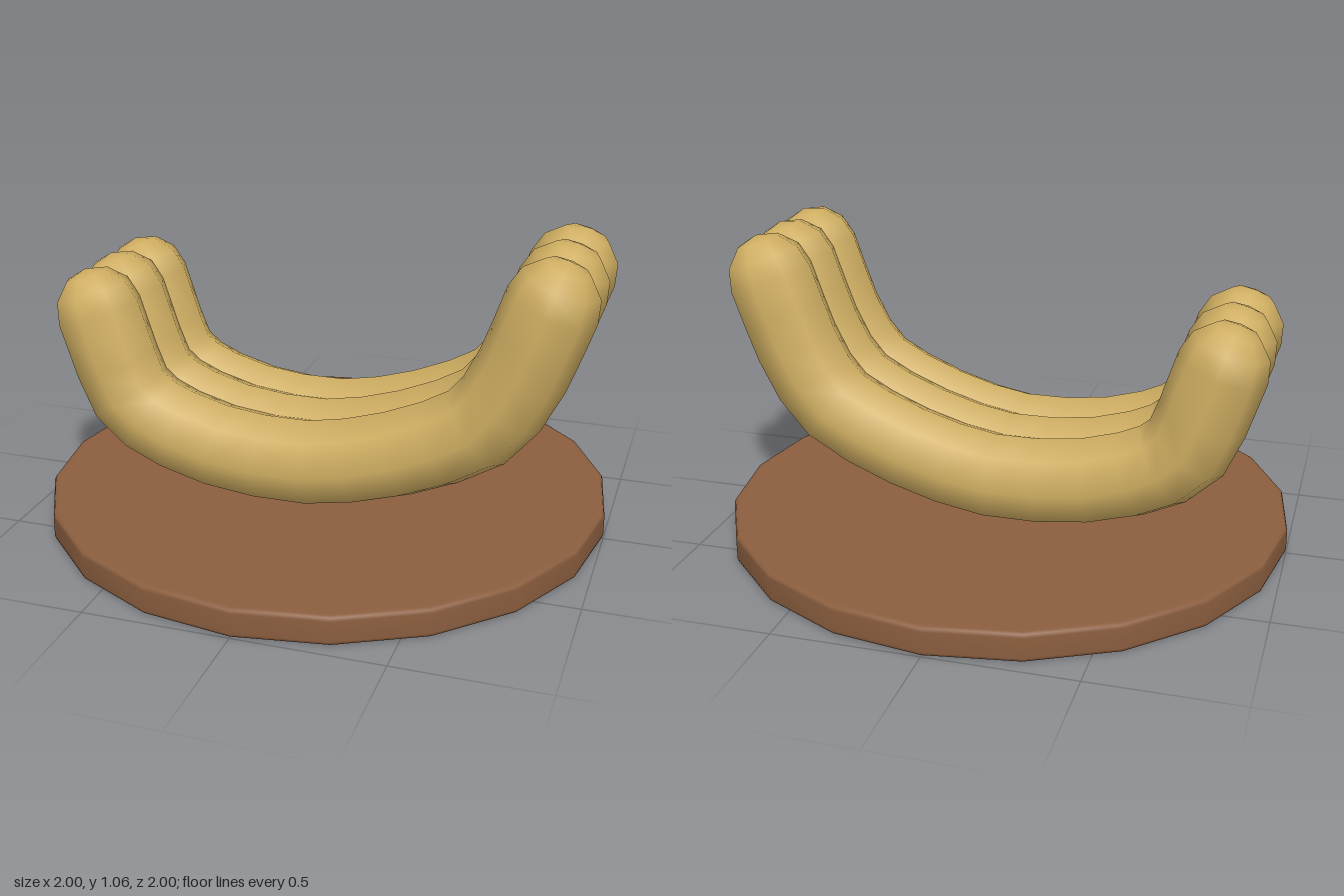
import * as THREE from 'three';
import { mergeVertices } from 'three/addons/utils/BufferGeometryUtils.js';

const RADIUS = 0.154;
const SIDES = 8;
const CAP_STEPS = 3;

// Centre line of one curved bar, from its short end to its tall end
const PATH = [
  [-0.77, 0.73], [-0.71, 0.545], [-0.663, 0.435], [-0.585, 0.365], [-0.48, 0.317],
  [-0.33, 0.275], [-0.165, 0.255], [0.01, 0.255], [0.165, 0.283], [0.315, 0.328],
  [0.46, 0.388], [0.585, 0.46], [0.665, 0.555], [0.728, 0.678], [0.77, 0.79], [0.812, 0.91],
].map(([x, y]) => new THREE.Vector2(x, y));

// Bar with rounded ends: rings swept along the path, shrinking over each cap
function barGeometry() {
  const rings = [];
  const last = PATH.length - 1;
  PATH.forEach((p, i) => {
    const t = PATH[Math.min(i + 1, last)].clone().sub(PATH[Math.max(i - 1, 0)]).normalize();
    rings.push({ c: p, t, r: RADIUS });
  });
  const start = rings[0], end = rings[last];
  for (let k = 1; k <= CAP_STEPS; k++) {
    const a = (k / CAP_STEPS) * Math.PI / 2;
    const r = k === CAP_STEPS ? 0 : RADIUS * Math.cos(a);
    const d = RADIUS * Math.sin(a);
    rings.unshift({ c: start.c.clone().addScaledVector(start.t, -d), t: start.t, r });
    rings.push({ c: end.c.clone().addScaledVector(end.t, d), t: end.t, r });
  }

  const positions = [], index = [];
  rings.forEach(({ c, t, r }, i) => {
    for (let j = 0; j < SIDES; j++) {
      const a = (j / SIDES) * Math.PI * 2;
      const n = r * Math.cos(a);
      positions.push(c.x - t.y * n, c.y + t.x * n, r * Math.sin(a));
      if (i === rings.length - 1) continue;
      const k = (j + 1) % SIDES;
      const p = i * SIDES + j, q = i * SIDES + k;
      if (r > 0) index.push(p, q, p + SIDES);
      if (rings[i + 1].r > 0) index.push(q, q + SIDES, p + SIDES);
    }
  });
  let geometry = new THREE.BufferGeometry();
  geometry.setAttribute('position', new THREE.Float32BufferAttribute(positions, 3));
  geometry.setIndex(index);
  geometry = mergeVertices(geometry, 1e-5);
  geometry.computeVertexNormals();
  return geometry;
}

export function createModel() {
  const group = new THREE.Group();

  // Round board with a softened rim
  const profile = [
    [0, 0], [0.97, 0], [0.985, 0], [0.996, 0.004], [1, 0.015],
    [1, 0.085], [0.996, 0.096], [0.985, 0.1], [0.97, 0.1], [0, 0.1],
  ].map(([x, y]) => new THREE.Vector2(x, y));
  const board = new THREE.Mesh(
    new THREE.LatheGeometry(profile, 20),
    new THREE.MeshStandardMaterial({ color: 0x8b5e3f }),
  );
  board.name = 'board';
  group.add(board);

  // Three overlapping curved bars side by side
  const geometry = barGeometry();
  const material = new THREE.MeshStandardMaterial({ color: 0xcfae62 });
  [['frontBar', 0.229], ['middleBar', 0.023], ['backBar', -0.182]].forEach(([name, z]) => {
    const bar = new THREE.Mesh(geometry, material);
    bar.name = name;
    bar.position.z = z;
    group.add(bar);
  });

  return group;
}
